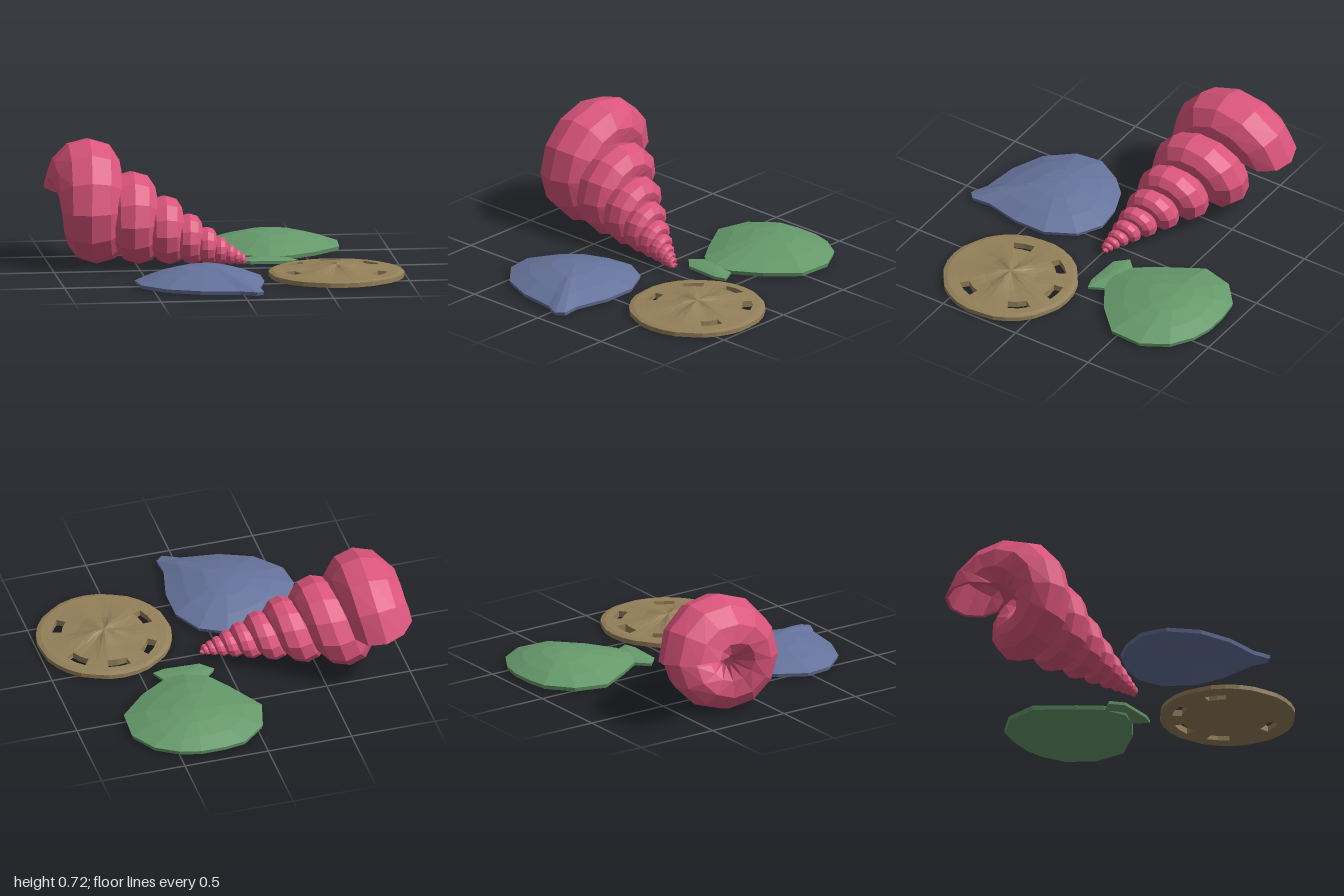
import * as THREE from 'three';

const TAU = Math.PI * 2;
const paint = (name, color) => {
  const m = new THREE.MeshStandardMaterial({ color });
  m.name = name;
  return m;
};

// Faceted skin over a list of closed loops; skip(i, j) leaves a cell open, extra adds loose quads.
function loft(loops, skip = () => false, extra = []) {
  const pos = [];
  const quad = (a, b, c, d) => pos.push(...a, ...b, ...c, ...a, ...c, ...d);
  for (let i = 0; i < loops.length - 1; i++) {
    const n = loops[i].length;
    for (let j = 0; j < n; j++) {
      const k = (j + 1) % n;
      if (!skip(i, j)) quad(loops[i][j], loops[i + 1][j], loops[i + 1][k], loops[i][k]);
    }
  }
  extra.forEach(q => quad(...q));
  const g = new THREE.BufferGeometry();
  g.setAttribute('position', new THREE.Float32BufferAttribute(pos, 3));
  g.computeVertexNormals();
  return g;
}

// Spiral shell: a tube wound on a cone, shrinking by a fixed ratio each turn.
function spiralGeometry() {
  const turns = 9, perTurn = 12, sides = 10, loops = [];
  const section = (back, size) => {
    const s = Math.pow(0.74, back), t = Math.PI - TAU * back;
    const e = [0.15 * Math.sin(t) - 0.14 * Math.cos(t), Math.sin(t), Math.cos(t)];
    // the last quarter turn narrows, draws in and slants towards the mouth
    const mouth = Math.max(0, 1 - back * 4);
    const axial = (0.215 - 0.035 * mouth) * size;
    return Array.from({ length: sides }, (_, j) => {
      const p = TAU * j / sides, rad = 0.196 + 0.196 * size * Math.cos(p), side = Math.sin(p);
      return [
        0.18 + s * (-1.07 + 0.035 * mouth + rad * e[0] - axial * side),
        0.03 + s * (0.367 + rad * e[1]) + 0.03 * mouth * size * side,
        s * (-0.317 + rad * e[2]),
      ];
    });
  };
  loops.push(section(turns, 0));
  for (let i = turns * perTurn; i >= 0; i--) loops.push(section(i / perTurn, 1));
  // lip and hollow mouth
  for (const [back, size] of [[0, 0.9], [0.08, 0.85], [0.18, 0.78], [0.25, 0]]) loops.push(section(back, size));
  return loft(loops);
}

// Domed hollow shell over an outline listed clockwise from above as [x, z].
function domeGeometry(outline, [cx, cz], rim, height, thick) {
  const pts = [...outline].reverse();
  const ring = (f, drop) => pts.map(([x, z]) => [
    cx + (x - cx) * f, rim + height * (1 - Math.pow(f, 1.8)) - drop, cz + (z - cz) * f]);
  const steps = [0, 0.35, 0.7, 1];
  return loft([
    ...steps.map(f => ring(f, 0)),
    ...[...steps].reverse().map(f => ring(f * 0.985, thick)),
  ]);
}

// Flat round urchin with five slots and a creased, raised centre.
function discGeometry() {
  const n = 30, cx = 0.6, cz = 0.3;
  const radii = [0, 0.07, 0.15, 0.245, 0.302, 0.365, 0.392];
  const heights = [0.08, 0.074, 0.06, 0.052, 0.048, 0.046, 0.038];
  const ridge = [0, 0.009, 0.008, 0.004, 0.002, 0, 0];
  const slots = [42, 90, 138, 198, 330].map(d => Math.round((d - 6) / 12));
  const ring = (r, flat) => Array.from({ length: n }, (_, j) => {
    const a = (6 + 12 * j) * Math.PI / 180;
    const shift = r === 3 || r === 4 ? 0.024 * Math.max(0, Math.sin(a)) : 0;
    const rad = radii[r] + shift - (r === 6 && j % 5 === 0 ? 0.006 : 0);
    const y = flat ? 0.012 : heights[r] + ridge[r] * Math.cos(5 * a - 0.6);
    return [cx + rad * Math.cos(a), y, cz - rad * Math.sin(a)];
  });
  const top = radii.map((_, r) => ring(r, false));
  const bottom = radii.map((_, r) => ring(r, true));
  const open = j => slots.some(s => j === s || j === (s + n - 1) % n);
  // slot walls
  const walls = [];
  for (const s of slots) {
    const a = (s + n - 1) % n, c = (s + 1) % n;
    const edge = [[3, a], [4, a], [4, s], [4, c], [3, c], [3, s]];
    edge.forEach(([r, j], i) => {
      const [q, k] = edge[(i + 1) % edge.length];
      walls.push([top[r][j], bottom[r][j], bottom[q][k], top[q][k]].reverse());
    });
  }
  const loops = [...top, ...bottom.reverse()];
  return loft(loops, (i, j) => (i === 3 || i === loops.length - 5) && open(j), walls);
}

export function createModel() {
  const group = new THREE.Group();
  group.name = 'seashells';
  const pink = paint('pink', 0xdb557c);
  const tan = paint('tan', 0x94805a);
  const green = paint('green', 0x669a6b);
  const blue = paint('blue', 0x66739c);
  // closed thin shells, shown from both sides
  for (const m of [tan, green, blue]) m.side = THREE.DoubleSide;

  const add = (name, geometry, material) => {
    const mesh = new THREE.Mesh(geometry, material);
    mesh.name = name;
    group.add(mesh);
  };

  add('spiralShell', spiralGeometry(), pink);
  add('sandDollar', discGeometry(), tan);

  // Scallop fan and its hinge ears
  add('scallopFan', domeGeometry([
    [0.05, -0.38], [-0.08, -0.6], [-0.03, -0.79], [0.11, -0.91], [0.24, -0.93], [0.38, -0.93], [0.5, -0.9],
    [0.63, -0.82], [0.72, -0.67], [0.71, -0.47], [0.55, -0.31], [0.39, -0.21], [0.27, -0.18], [0.14, -0.25],
  ], [0.33, -0.64], 0.04, 0.084, 0.026), green);
  add('scallopEars', domeGeometry([
    [0.08, -0.18], [0.15, -0.25], [0.27, -0.25], [0.38, -0.22], [0.43, -0.12], [0.36, -0.1], [0.15, -0.11],
  ], [0.26, -0.19], 0.03, 0.016, 0.018), green);

  // Clam half with its beak at the front
  add('clamShell', domeGeometry([
    [-0.59, 0.46], [-0.5, 0.3], [-0.4, 0.2], [-0.25, 0.14], [-0.09, 0.12], [0.06, 0.2], [0.15, 0.37],
    [0.15, 0.57], [0.1, 0.78], [0.11, 0.89], [0.07, 0.925], [0.03, 0.91], [-0.03, 0.88], [-0.25, 0.85],
    [-0.44, 0.77], [-0.57, 0.62],
  ], [-0.19, 0.49], 0.04, 0.09, 0.024), blue);

  return group;
}
